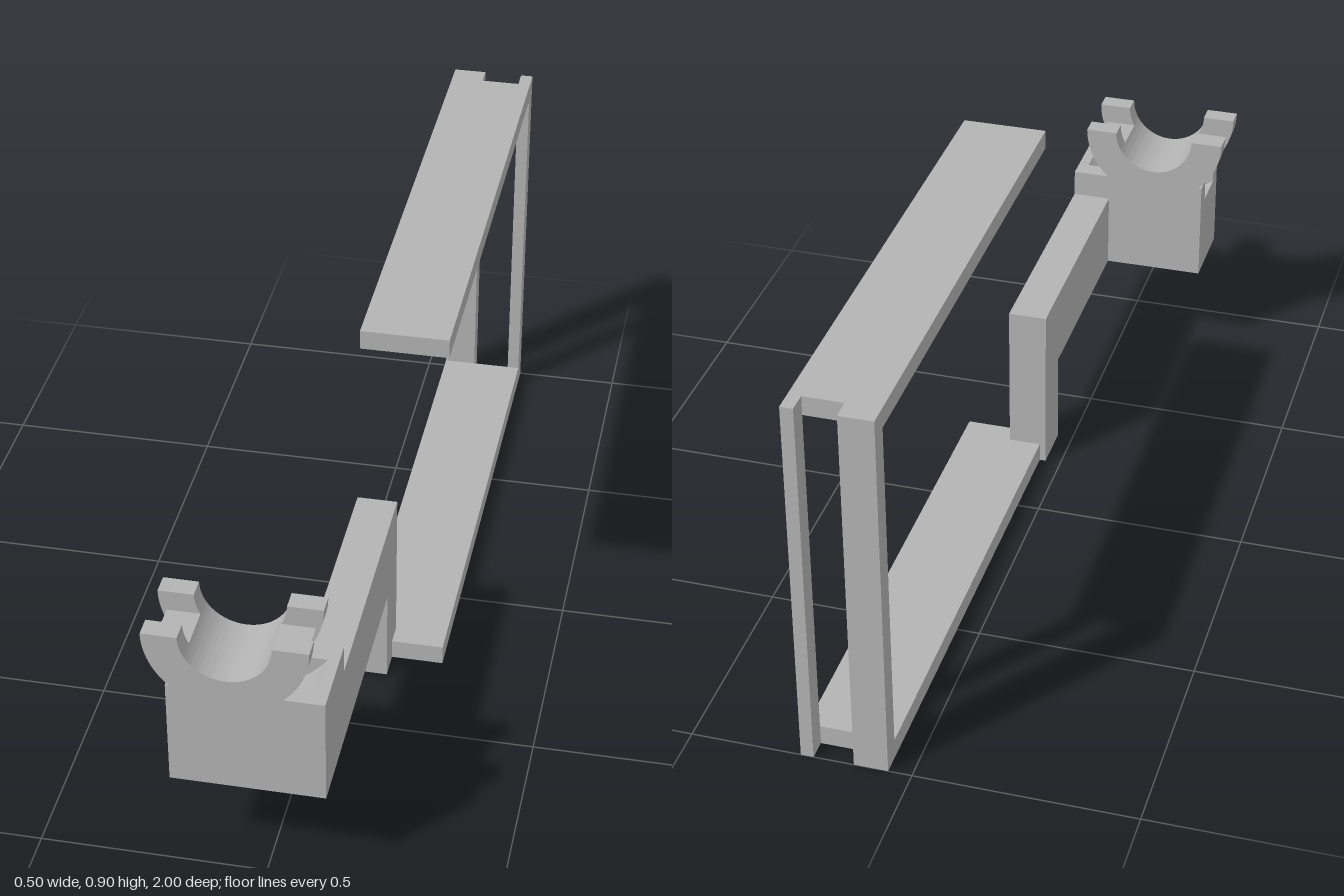
import * as THREE from 'three';
import { toCreasedNormals } from 'three/addons/utils/BufferGeometryUtils.js';

const grey = new THREE.MeshStandardMaterial({ color: 0xb3b3b3 });
grey.name = 'grey plastic';

// Clip: bore centre, bore and outer radii, strap channel radii
const CX = -0.077, CY = 0.608, BORE = 0.098, OUTER = 0.175, CH_IN = 0.165, CH_OUT = 0.2225;
// Clip block limits
const L = -0.205, R = 0.13, BOTTOM = 0.228, TOP = 0.48;

function box(name, [x0, x1], [y0, y1], [z0, z1]) {
  const mesh = new THREE.Mesh(new THREE.BoxGeometry(x1 - x0, y1 - y0, z1 - z0), grey);
  mesh.position.set((x0 + x1) / 2, (y0 + y1) / 2, (z0 + z1) / 2);
  mesh.name = name;
  return mesh;
}

function slice(name, shape, z0, z1) {
  const geo = new THREE.ExtrudeGeometry(shape, { depth: z1 - z0, bevelEnabled: false, curveSegments: 40 });
  const mesh = new THREE.Mesh(toCreasedNormals(geo, 0.5), grey);
  mesh.position.z = z0;
  mesh.name = name;
  return mesh;
}

// Block with the full half-round cradle
function cradleShape() {
  const a = Math.asin((CY - TOP) / OUTER);
  const s = new THREE.Shape();
  s.moveTo(L, BOTTOM);
  s.lineTo(R, BOTTOM);
  s.lineTo(R, TOP);
  s.absarc(CX, CY, OUTER, -a, 0, false);
  s.absarc(CX, CY, BORE, 0, -Math.PI, true);
  s.absarc(CX, CY, OUTER, Math.PI, Math.PI + a, false);
  s.lineTo(L, TOP);
  s.closePath();
  return s;
}

// Block with a curved strap channel cut through it
function channelShape() {
  const s = new THREE.Shape();
  s.moveTo(L, BOTTOM);
  s.lineTo(R, BOTTOM);
  s.lineTo(R, TOP);
  s.absarc(CX, CY, CH_OUT, -Math.asin((CY - TOP) / CH_OUT), -Math.acos((L - CX) / CH_OUT), true);
  s.closePath();
  return s;
}

// Thin, lower saddle above the strap channel
function saddleShape() {
  const drop = 0.048;
  const o = Math.asin(drop / CH_IN), i = Math.asin(drop / BORE);
  const s = new THREE.Shape();
  s.absarc(CX, CY, CH_IN, Math.PI + o, 2 * Math.PI - o, false);
  s.absarc(CX, CY, BORE, -i, -Math.PI + i, true);
  s.closePath();
  return s;
}

export function createModel() {
  const model = new THREE.Group();
  model.name = 'clipBracket';

  // C-shaped frame: two long plates joined by two back posts
  const frame = new THREE.Group();
  frame.name = 'frame';
  const back = -0.953;
  frame.add(
    box('topPlate', [0.053, 0.25], [0.853, 0.898], [back, 0.25]),
    box('bottomPlate', [0.053, 0.25], [0, 0.047], [back, 0.25]),
    box('widePost', [0.053, 0.13], [0, 0.898], [-1, back]),
    box('narrowPost', [0.221, 0.25], [0, 0.898], [-1, back])
  );

  // Stepped arm reaching forward
  const arm = new THREE.Group();
  arm.name = 'arm';
  arm.add(
    box('armLeg', [0.038, R], [0, BOTTOM], [0.2, 0.315]),
    box('armBeam', [0.038, R], [BOTTOM, 0.415], [0.2, 0.812])
  );

  // Tube clip: two cradle ends around a slotted middle
  const clip = new THREE.Group();
  clip.name = 'tubeClip';
  clip.add(
    slice('backCradle', cradleShape(), 0.812, 0.857),
    slice('channelBlock', channelShape(), 0.857, 0.955),
    slice('saddle', saddleShape(), 0.857, 0.955),
    slice('frontCradle', cradleShape(), 0.955, 1)
  );

  model.add(frame, arm, clip);
  return model;
}
